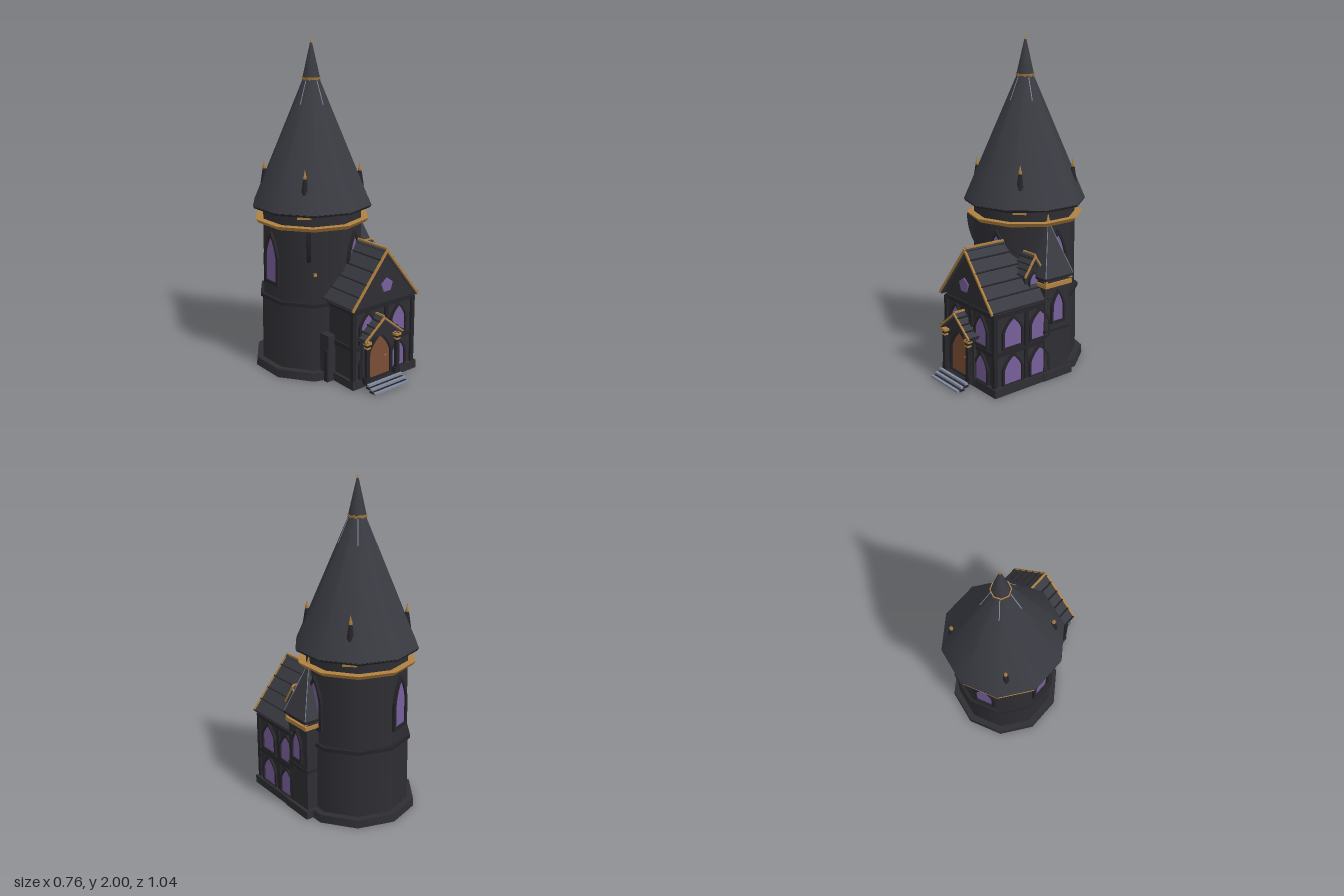
import * as THREE from 'three';

const mat = (name, color) => Object.assign(new THREE.MeshStandardMaterial({ color }), { name });
const M = {
  wall: mat('dark stone', 0x2e2e33), roof: mat('slate roof', 0x3a3b42), trim: mat('black timber', 0x25252a),
  gold: mat('aged gold', 0xb0813f), glass: mat('purple glass', 0x775f9a), door: mat('brown wood', 0x7a4d33),
  steel: mat('grey stone', 0x80889c),
};

function add(parent, name, geo, m, x = 0, y = 0, z = 0) {
  const mesh = new THREE.Mesh(geo, m);
  mesh.name = name;
  mesh.position.set(x, y, z);
  parent.add(mesh);
  return mesh;
}
const box = (p, name, m, w, h, d, x, y, z) => add(p, name, new THREE.BoxGeometry(w, h, d), m, x, y, z);
// upright prism or cone spanning y0..y1
const drum = (p, name, m, r0, r1, y0, y1, x, z, n = 10) =>
  add(p, name, new THREE.CylinderGeometry(r1, r0, y1 - y0, n), m, x, (y0 + y1) / 2, z);
function group(parent, name, x = 0, y = 0, z = 0, ry = 0) {
  const g = new THREE.Group();
  g.name = name;
  g.position.set(x, y, z);
  g.rotation.y = ry;
  parent.add(g);
  return g;
}

// pointed arch outline standing on y = 0
function arch(w, h, Type = THREE.Shape, grow = 0) {
  const a = w / 2 + grow, s = h * 0.55, b = -grow;
  const p = new Type();
  p.moveTo(-a, b);
  p.lineTo(a, b);
  p.lineTo(a, s);
  p.quadraticCurveTo(a * 0.75, h * 0.82, 0, h + grow * 1.4);
  p.quadraticCurveTo(-a * 0.75, h * 0.82, -a, s);
  p.lineTo(-a, b);
  return p;
}
// framed arch facing +z before turning
function archPanel(parent, name, w, h, x, y, z, ry = 0, fill = M.glass, grow = 0.014) {
  const g = group(parent, name, x, y, z, ry);
  const outer = arch(w, h, THREE.Shape, grow);
  outer.holes.push(arch(w, h, THREE.Path));
  add(g, 'frame', new THREE.ExtrudeGeometry(outer, { depth: 0.018, bevelEnabled: false, curveSegments: 4 }), M.trim);
  add(g, 'pane', new THREE.ExtrudeGeometry(arch(w, h), { depth: 0.008, bevelEnabled: false, curveSegments: 4 }), fill);
  return g;
}

// gable roof: ridge runs from z = 0 back to -len, apex at the group origin
function gableRoof(parent, name, half, rise, len, planks, edge, x, y, z, ry = 0) {
  const g = group(parent, name, x, y, z, ry);
  const slope = Math.hypot(half, rise), angle = Math.atan2(rise, half);
  for (const s of [-1, 1]) {
    const side = group(g, 'slope', 0, 0, 0);
    side.rotation.z = -s * angle;
    box(side, 'slab', M.roof, slope, 0.016, len, s * slope / 2, -0.012, -len / 2);
    for (let i = 1; i <= planks; i++)
      box(side, 'batten', M.trim, 0.007, 0.012, len, s * (slope * i / planks - 0.006), 0, -len / 2);
    box(side, 'goldEdge', M.gold, slope, edge, edge, s * slope / 2, -0.006, edge / 4);
  }
  box(g, 'ridgeCap', M.gold, edge, edge, len, 0, 0, -len / 2);
  const tri = new THREE.Shape([[-half + 0.02, -rise], [half - 0.02, -rise], [0, -0.025]].map(p => new THREE.Vector2(...p)));
  add(g, 'gableWall', new THREE.ExtrudeGeometry(tri, { depth: len - 0.02, bevelEnabled: false }), M.wall, 0, 0, 0.005 - len);
  return g;
}

function buildTower(root) {
  const X = -0.025, Z = -0.152;
  const t = group(root, 'tower', X, 0, Z);
  drum(t, 'plinth', M.wall, 0.372, 0.368, 0, 0.05, 0, 0);
  drum(t, 'lowerWall', M.wall, 0.328, 0.324, 0.05, 0.46, 0, 0);
  drum(t, 'stringCourse', M.trim, 0.337, 0.337, 0.452, 0.474, 0, 0);
  drum(t, 'upperWall', M.wall, 0.314, 0.31, 0.46, 1.02, 0, 0);
  drum(t, 'goldBand', M.gold, 0.338, 0.357, 0.918, 0.942, 0, 0);
  drum(t, 'eave', M.trim, 0.366, 0.373, 1.01, 1.025, 0, 0);
  drum(t, 'spireRoof', M.roof, 0.373, 0.05, 1.022, 1.77, 0, 0);
  drum(t, 'spireCollar', M.gold, 0.052, 0.058, 1.752, 1.776, 0, 0, 8);
  drum(t, 'spireTip', M.roof, 0.052, 0.004, 1.776, 1.985, 0, 0, 8);
  drum(t, 'finial', M.gold, 0.007, 0.001, 1.975, 2, 0, 0, 6);
  // steel ribs below the collar
  for (let i = 0; i < 5; i++) {
    const rib = box(group(t, 'rib', 0, 0, 0, i * Math.PI * 0.4), 'ribBar', M.steel, 0.005, 0.15, 0.005, 0, 1.69, 0.083);
    rib.rotation.x = -0.41;
  }
  // roof spikes and gold brackets on the diagonals
  for (let i = 0; i < 4; i++) {
    const d = group(t, 'diagonal', 0, 0, 0, Math.PI / 4 + i * Math.PI / 2);
    drum(d, 'roofSpike', M.trim, 0.026, 0.009, 1.13, 1.235, 0, 0.292, 6);
    drum(d, 'spikeBall', M.gold, 0.011, 0.011, 1.222, 1.238, 0, 0.292, 6);
    drum(d, 'spikeTip', M.gold, 0.008, 0.001, 1.238, 1.275, 0, 0.292, 6);
    box(d, 'goldBracket', M.gold, 0.08, 0.018, 0.035, 0, 1.003, 0.322);
  }
  // tall windows on four faces
  for (const deg of [18, 90, 198, 270]) {
    const a = THREE.MathUtils.degToRad(deg), r = 0.297;
    archPanel(t, 'towerWindow', 0.105, 0.28, r * Math.sin(a), 0.575, r * Math.cos(a), a, M.glass, 0.02);
  }
  // hooked fin on the front corner
  const fin = new THREE.Shape();
  fin.moveTo(-0.02, 0.92);
  fin.lineTo(0.065, 0.92);
  fin.quadraticCurveTo(0.06, 0.78, -0.01, 0.69);
  const f = group(t, 'cornerFin', -0.19, 0, 0.22, -0.72 - Math.PI / 2);
  add(f, 'finBlade', new THREE.ExtrudeGeometry(fin, { depth: 0.025, bevelEnabled: false }), M.trim, 0, 0, -0.012);
  box(t, 'finStud', M.gold, 0.018, 0.018, 0.018, -0.175, 0.652, 0.255);
}

function buildTurret(root) {
  const t = group(root, 'turret', 0.27, 0, -0.085);
  box(t, 'turretBase', M.wall, 0.21, 0.05, 0.22, 0, 0.025, 0);
  box(t, 'turretWall', M.wall, 0.172, 0.57, 0.188, 0, 0.335, 0);
  box(t, 'turretCourse', M.trim, 0.18, 0.016, 0.196, 0, 0.3, 0);
  box(t, 'turretBand', M.gold, 0.205, 0.024, 0.205, 0, 0.584, 0);
  box(t, 'turretEave', M.trim, 0.216, 0.014, 0.22, 0, 0.625, 0);
  const cone = new THREE.CylinderGeometry(0.012, 0.153, 0.29, 4).toNonIndexed();
  cone.rotateY(Math.PI / 4);
  cone.computeVertexNormals();
  add(t, 'turretRoof', cone, M.roof, 0, 0.777, 0);
  drum(t, 'turretFinial', M.gold, 0.018, 0.002, 0.92, 0.985, 0, 0, 6);
  for (const sx of [-1, 1]) for (const sz of [-1, 1]) {
    const a = new THREE.Vector3(sx * 0.106, 0.637, sz * 0.106), b = new THREE.Vector3(sx * 0.01, 0.92, sz * 0.01);
    add(t, 'hipRib', new THREE.TubeGeometry(new THREE.LineCurve3(a, b), 1, 0.003, 4), M.steel);
    box(t, 'cornerStud', M.gold, 0.016, 0.014, 0.016, sx * 0.096, 0.612, sz * 0.096);
  }
  archPanel(t, 'turretWindow', 0.078, 0.17, 0.085, 0.36, 0, Math.PI / 2);
}

function buildHouse(root) {
  const h = group(root, 'house');
  box(h, 'houseBase', M.wall, 0.51, 0.05, 0.5, 0.115, 0.025, 0.135);
  box(h, 'houseWall', M.wall, 0.465, 0.46, 0.46, 0.11, 0.27, 0.135);
  // timber frame
  for (const y of [0.245, 0.475]) box(h, 'beam', M.trim, 0.485, 0.026, 0.48, 0.11, y, 0.135);
  for (const x of [-0.125, 0.125, 0.34]) box(h, 'frontPost', M.trim, 0.026, 0.44, 0.026, x, 0.26, 0.366);
  for (const z of [0.14, -0.06]) box(h, 'sidePost', M.trim, 0.026, 0.44, 0.026, 0.34, 0.26, z);
  // windows on the front and both sides
  for (const y of [0.055, 0.28]) {
    for (const x of [0.222, -0.02]) archPanel(h, 'frontWindow', 0.105, 0.165, x, y, 0.362);
    for (const z of [0.243, 0.045]) archPanel(h, 'sideWindow', 0.125, 0.165, 0.34, y, z, Math.PI / 2);
  }
  // main roof and the five-sided gable window
  gableRoof(h, 'houseRoof', 0.263, 0.325, 0.42, 5, 0.012, 0.102, 0.825, 0.393);
  const pane = add(h, 'gableWindow', new THREE.CylinderGeometry(0.045, 0.045, 0.008, 5), M.glass, 0.1, 0.607, 0.4);
  pane.rotation.x = Math.PI / 2;
  pane.rotation.y = Math.PI;
  // dormer on the right slope
  gableRoof(h, 'dormerRoof', 0.082, 0.122, 0.17, 4, 0.01, 0.302, 0.768, 0.04, Math.PI / 2);
  box(h, 'dormerWall', M.wall, 0.14, 0.16, 0.12, 0.215, 0.575, 0.04);
  archPanel(h, 'dormerWindow', 0.06, 0.09, 0.28, 0.565, 0.04, Math.PI / 2, M.glass, 0.008);
  // stepped buttress on the left wall
  box(h, 'buttress', M.wall, 0.05, 0.29, 0.09, -0.155, 0.145, 0.16);
  box(h, 'buttressFoot', M.trim, 0.07, 0.2, 0.03, -0.155, 0.1, 0.19);
}

function buildPorch(root) {
  const p = group(root, 'porch', 0.05, 0, 0);
  archPanel(p, 'door', 0.17, 0.255, 0, 0.05, 0.385, 0, M.door, 0.018);
  box(p, 'doorSurround', M.wall, 0.24, 0.27, 0.02, 0, 0.175, 0.376);
  add(p, 'doorKnob', new THREE.SphereGeometry(0.006, 8, 6), M.gold, 0.05, 0.165, 0.397);
  gableRoof(p, 'porchRoof', 0.152, 0.122, 0.08, 4, 0.01, 0, 0.435, 0.437);
  for (const s of [-1, 1]) {
    box(p, 'porchPost', M.trim, 0.024, 0.25, 0.022, s * 0.117, 0.175, 0.425);
    box(p, 'postCap', M.gold, 0.042, 0.014, 0.034, s * 0.117, 0.293, 0.424);
    box(p, 'postCollar', M.gold, 0.032, 0.009, 0.028, s * 0.117, 0.265, 0.425);
    box(p, 'postFoot', M.trim, 0.04, 0.035, 0.03, s * 0.117, 0.062, 0.42);
  }
  // three open steps with pale nosings
  for (let i = 0; i < 3; i++) {
    const y = 0.042 - i * 0.015, z = 0.452 + i * 0.029;
    box(p, 'stepNosing', M.steel, 0.27, 0.012, 0.018, 0, y, z);
    box(p, 'stepTread', M.trim, 0.268, 0.01, 0.04, 0, y - 0.002, z - 0.025);
  }
}

export function createModel() {
  const root = new THREE.Group();
  root.name = 'towerHouse';
  buildTower(root);
  buildTurret(root);
  buildHouse(root);
  buildPorch(root);
  return root;
}
